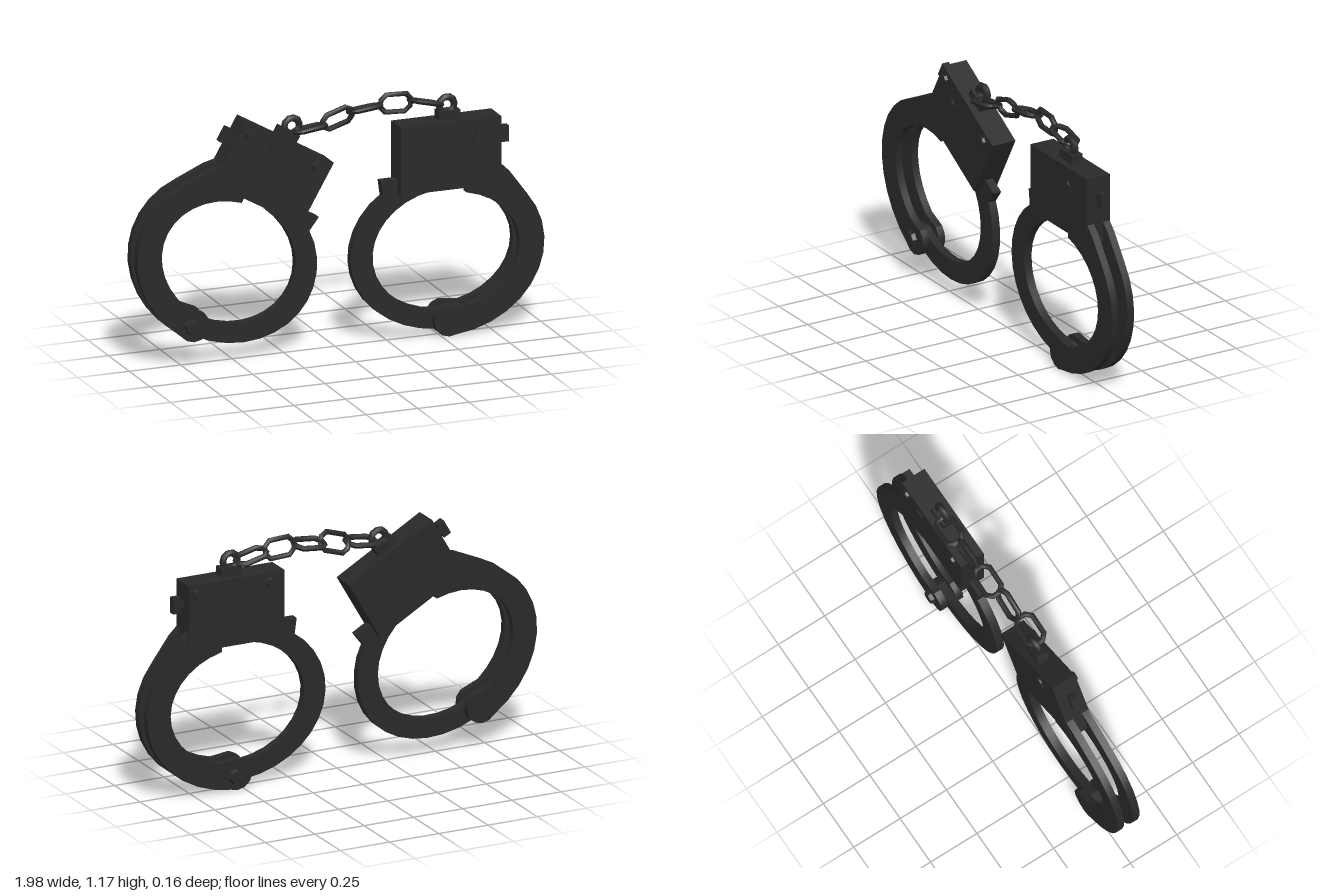
import * as THREE from 'three';
import { toCreasedNormals } from 'three/addons/utils/BufferGeometryUtils.js';

export function createModel() {
  const model = new THREE.Group();
  const steel = new THREE.MeshStandardMaterial({ color: 0x292929 });
  steel.name = 'black steel';

  const add = (parent, name, geometry, x = 0, y = 0, z = 0) => {
    const mesh = new THREE.Mesh(geometry, steel);
    mesh.name = name;
    mesh.position.set(x, y, z);
    parent.add(mesh);
    return mesh;
  };

  // points on an elliptical arc, angles in degrees
  const arc = (cx, cy, rx, ry, from, to, steps) =>
    Array.from({ length: steps + 1 }, (_, i) => {
      const a = THREE.MathUtils.degToRad(from + ((to - from) * i) / steps);
      return new THREE.Vector2(cx + rx * Math.cos(a), cy + ry * Math.sin(a));
    });
  const pt = (x, y) => new THREE.Vector2(x, y);

  // flat plate of a given outline, from z0 to z0 + depth
  const plate = (points, z0, depth, hole) => {
    const shape = new THREE.Shape(points);
    if (hole) shape.holes.push(new THREE.Path(hole));
    const g = new THREE.ExtrudeGeometry(shape, { depth, bevelEnabled: false });
    g.translate(0, 0, z0);
    return toCreasedNormals(g, 0.5);
  };

  // outlines, with the middle of the wrist opening at the origin
  const cheekOutline = [
    pt(0.09, 0.34), pt(0.259, 0.385), pt(0.3, 0.345),
    ...arc(0, 0, 0.47, 0.4, 35, -85, 11),
    ...arc(0.01, -0.33, 0.075, 0.075, -90, -260, 6),
    ...arc(0, 0, 0.35, 0.277, -75, 75, 14),
  ];
  const armOutline = [
    pt(-0.08, 0.355), pt(-0.31, 0.355), pt(-0.3, 0.28),
    ...arc(0, 0, 0.457, 0.375, 140, 265, 12),
    pt(0.06, -0.36), pt(0.075, -0.31),
    ...arc(0, 0, 0.35, 0.285, 275, 100, 16),
  ];
  const blockOutline = [pt(-0.228, 0.29), pt(0.259, 0.29), pt(0.259, 0.61), pt(-0.228, 0.61)];
  const keyhole = [pt(0.102, 0.5), pt(0.102, 0.525), ...arc(0.114, 0.545, 0.028, 0.028, 230, -50, 8),
    pt(0.126, 0.525), pt(0.126, 0.5)];
  const hexHole = arc(0.114, 0.54, 0.029, 0.029, 0, 300, 5);

  // short stud sticking out of the back face
  const stud = (parent, name, x, y, r, height) => {
    const g = new THREE.CylinderGeometry(r * 0.8, r, height, 7).toNonIndexed();
    g.rotateX(-Math.PI / 2);
    g.computeVertexNormals();
    add(parent, name, g, x, y, -0.06 - height / 2);
  };

  const makeCuff = (name) => {
    const cuff = new THREE.Group();
    cuff.name = name;
    add(cuff, 'swingArm', plate(armOutline, -0.02, 0.04));
    add(cuff, 'frontCheek', plate(cheekOutline, 0.024, 0.035));
    add(cuff, 'backCheek', plate(cheekOutline, -0.059, 0.035));

    // lock housing with recessed holes in its faces
    add(cuff, 'lockBlock', new THREE.BoxGeometry(0.487, 0.32, 0.104), 0.0155, 0.45);
    add(cuff, 'frontLockPlate', plate(blockOutline, 0.052, 0.009, keyhole));
    add(cuff, 'backLockPlate', plate(blockOutline, -0.061, 0.009, hexHole));
    stud(cuff, 'lockStud', 0.216, 0.565, 0.026, 0.014);
    stud(cuff, 'lockStud', -0.159, 0.563, 0.026, 0.014);
    stud(cuff, 'hingeRivet', 0.02, -0.338, 0.038, 0.018);

    // safety catch on the side
    add(cuff, 'catchStem', new THREE.BoxGeometry(0.03, 0.03, 0.025), 0.268, 0.505);
    add(cuff, 'catchButton', new THREE.BoxGeometry(0.038, 0.075, 0.035), 0.296, 0.508);

    // swivel holding the chain
    add(cuff, 'swivelBase', new THREE.BoxGeometry(0.105, 0.045, 0.055), 0.022, 0.63);
    add(cuff, 'swivelEye', new THREE.TorusGeometry(0.037, 0.017, 6, 10), 0.018, 0.675);
    return cuff;
  };

  const leftCuff = makeCuff('leftCuff');
  leftCuff.position.set(0.525, 0.41, 0);
  const rightCuff = makeCuff('rightCuff');
  rightCuff.position.set(-0.532, 0.48, 0);
  rightCuff.rotation.set(0, Math.PI, Math.PI / 6);
  model.add(leftCuff, rightCuff);

  // chain link: a ring stretched along x
  const linkGeometry = new THREE.TorusGeometry(0.046, 0.013, 6, 8);
  linkGeometry.rotateZ(Math.PI / 8);
  const p = linkGeometry.attributes.position;
  for (let i = 0; i < p.count; i++) p.setX(i, p.getX(i) + Math.sign(p.getX(i)) * 0.03);
  linkGeometry.computeVertexNormals();

  // x, y, z, tilt and roll of each link
  const chain = new THREE.Group();
  chain.name = 'chain';
  [
    [-0.135, 1.06, 0.028, 0.12, 1.4],
    [0.01, 1.085, 0.005, 0.3, 0.35],
    [0.15, 1.108, -0.015, 0.1, 1.35],
    [0.303, 1.115, -0.02, -0.05, 0.1],
    [0.45, 1.1, -0.025, -0.24, 1.4],
  ].forEach(([x, y, z, tilt, roll]) => {
    const link = add(chain, 'chainLink', linkGeometry, x, y, z);
    link.rotation.set(roll, 0, tilt, 'ZYX');
  });
  model.add(chain);
  return model;
}
